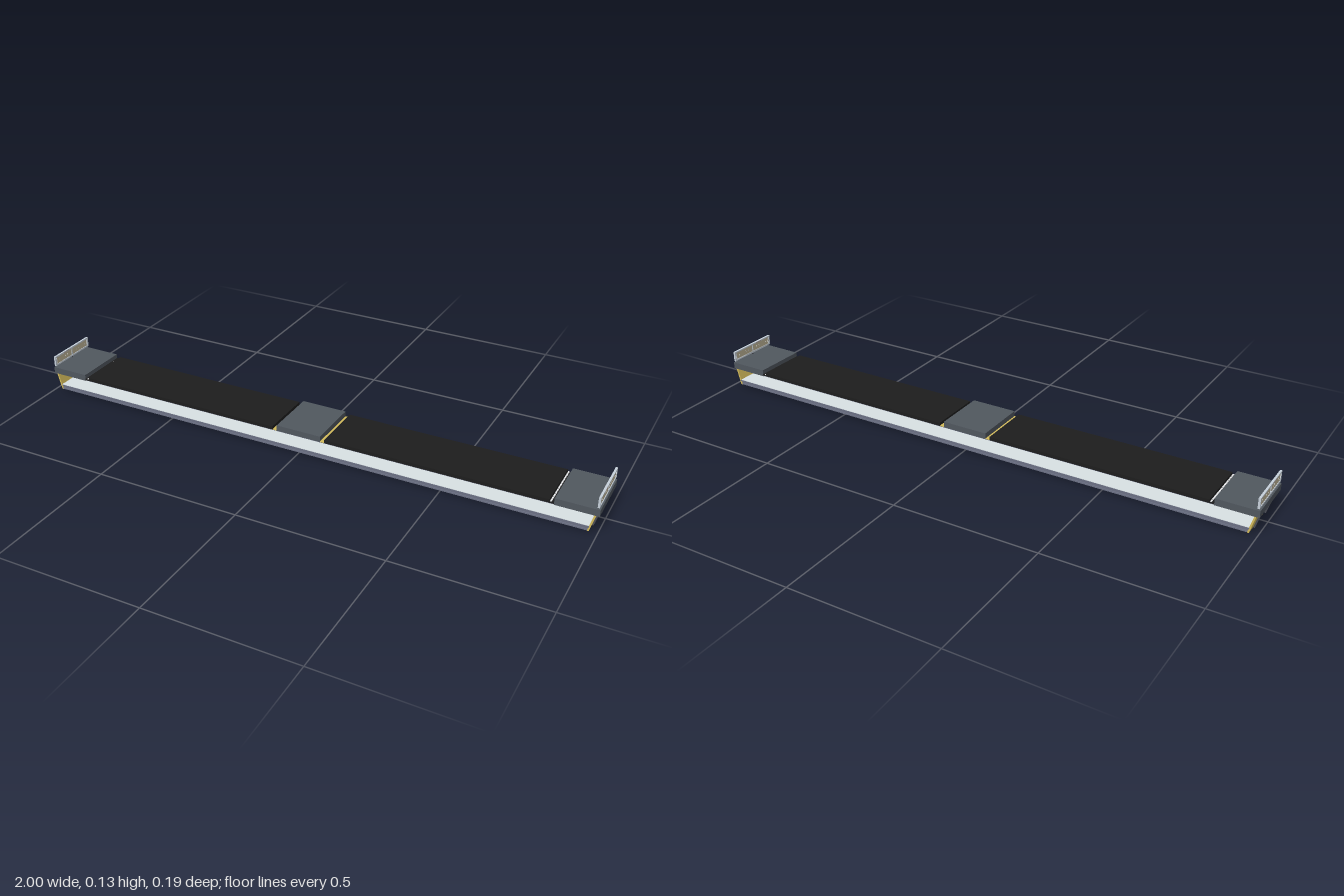
import * as THREE from 'three';

const mat = (name, color) => {
  const m = new THREE.MeshStandardMaterial({ color });
  m.name = name;
  return m;
};

export function createModel() {
  const model = new THREE.Group();
  const slate = mat('slate grey', 0x50575e);
  const black = mat('mat black', 0x1d1d1d);
  const yellow = mat('mustard yellow', 0xd2ba5a);
  const steel = mat('blue steel', 0x6b7084);
  const pale = mat('pale grey', 0xd8e0e3);
  const dark = mat('dark rib', 0x474a53);
  const tan = mat('tan panel', 0xc0b698);
  const frame = mat('frame grey', 0xc6d0da);
  const white = mat('white', 0xf0f2f4);
  const mauve = mat('mauve grey', 0xb0a9ac);
  const W = 0.19; // full depth

  // box given by its ranges in x and y, and its centre and size in z
  const box = (parent, name, m, x0, x1, y0, y1, z = 0, d = W) => {
    const mesh = new THREE.Mesh(new THREE.BoxGeometry(x1 - x0, y1 - y0, d), m);
    mesh.position.set((x0 + x1) / 2, (y0 + y1) / 2, z);
    mesh.name = name;
    parent.add(mesh);
  };

  // slanted solid running down an end, extruded through z
  const slant = (parent, name, m, pts, z, d) => {
    const shape = new THREE.Shape(pts.map(p => new THREE.Vector2(...p)));
    const geo = new THREE.ExtrudeGeometry(shape, { depth: d, bevelEnabled: false });
    geo.translate(0, 0, z - d / 2);
    const mesh = new THREE.Mesh(geo, m);
    mesh.name = name;
    parent.add(mesh);
  };

  // lower slab with a recessed band along its sides
  box(model, 'slabBottom', steel, -0.972, 0.972, 0.005, 0.010);
  box(model, 'slabCore', steel, -0.972, 0.972, 0.010, 0.016, 0, W - 0.006);
  box(model, 'slabTop', steel, -0.974, 0.974, 0.016, 0.021);
  box(model, 'slabSurface', pale, -0.974, 0.974, 0.021, 0.0225, 0, W - 0.002);

  // upper deck
  box(model, 'deckUnderside', steel, -0.9, 0.9, 0.064, 0.066, 0, W - 0.002);
  box(model, 'centrePad', slate, -0.08, 0.08, 0.066, 0.086);

  // both ends are the same, turned half way round
  for (const side of [1, -1]) {
    const end = new THREE.Group();
    end.name = side > 0 ? 'leftEnd' : 'rightEnd';
    if (side < 0) end.rotation.y = Math.PI;
    model.add(end);

    // mat between two grooves, with a yellow strip in the inner one
    box(end, 'deckMat', black, 0.096, 0.847, 0.066, 0.078);
    box(end, 'yellowStripe', yellow, 0.08, 0.096, 0.066, 0.0675);
    box(end, 'endBlock', slate, 0.862, 1, 0.063, 0.086);

    // dashed line in the outer groove
    box(end, 'grooveFloor', black, 0.847, 0.862, 0.066, 0.071);
    for (let i = 0; i < 12; i++)
      box(end, 'lineDash', white, 0.849, 0.854, 0.071, 0.0725, -0.088 + i * 0.016, 0.013);

    // end wall and its two ribs
    slant(end, 'endWall', yellow,
      [[0.968, 0.004], [0.974, 0.004], [0.990, 0.063], [0.984, 0.063]], 0, W);
    for (const z of [0.049, -0.049])
      slant(end, 'endRib', dark,
        [[0.970, 0], [0.978, 0], [0.996, 0.063], [0.986, 0.063]], z, 0.008);

    // upright panel with frame and post
    box(end, 'panel', tan, 0.992, 0.995, 0.094, 0.126, 0, W - 0.006);
    for (const y of [0.092, 0.1225])
      box(end, 'panelRail', frame, 0.990, 0.997, y, y + 0.0055);
    for (const z of [-0.092, 0.092])
      box(end, 'panelEdge', frame, 0.990, 0.997, 0.092, 0.128, z, 0.006);
    for (const z of [-0.086, 0.086])
      box(end, 'panelBracket', white, 0.991, 0.996, 0.100, 0.120, z, 0.002);
    box(end, 'panelStrip', frame, 0.990, 0.997, 0.092, 0.128, 0, 0.004);
    box(end, 'panelPost', dark, 0.992, 0.995, 0.085, 0.092, 0, 0.003);
    for (const z of [-0.072, -0.036, -0.024, 0.024, 0.036, 0.072])
      box(end, 'panelTick', white, 0.991, 0.996, 0.108, 0.113, z, 0.0015);
    box(end, 'panelTab', mauve, 0.9895, 0.9975, 0.1235, 0.1275, side * 0.033, 0.03);
  }
  return model;
}
